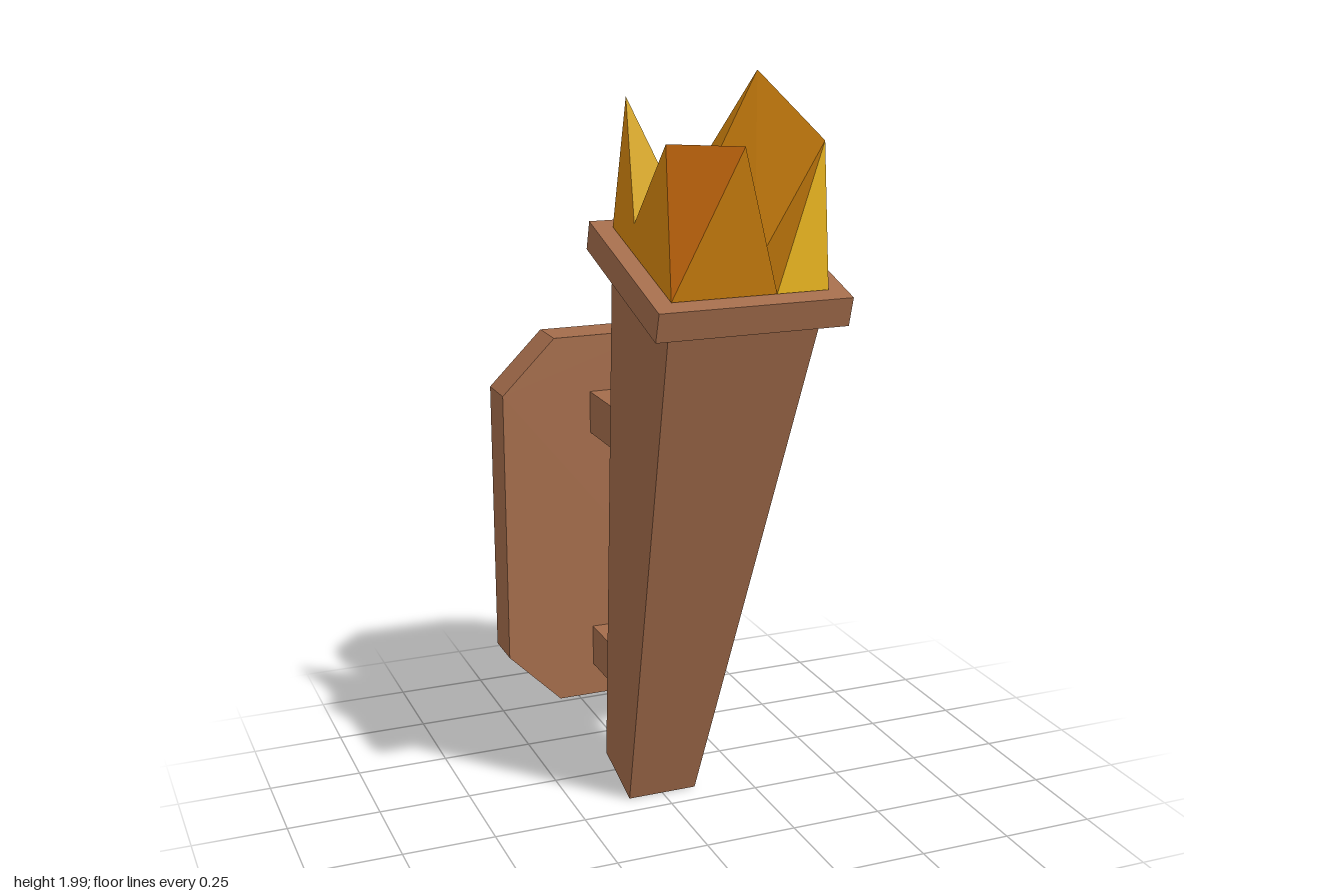
import * as THREE from 'three';

const mat = (name, color) => {
  const m = new THREE.MeshStandardMaterial({ color, flatShading: true, side: THREE.DoubleSide });
  m.name = name;
  return m;
};

// Non-indexed geometry from a flat list of Vector3 triangles
function fromPoints(points) {
  const g = new THREE.BufferGeometry().setFromPoints(points);
  g.computeVertexNormals();
  return g;
}

// Walls of a prism along z, open at both ends; the outline runs anticlockwise
function openWalls(outline, z0, z1) {
  const pts = [];
  outline.forEach((p, i) => {
    const q = outline[(i + 1) % outline.length];
    const [a, b, c, d] = [[p, z0], [q, z0], [q, z1], [p, z1]].map(([v, z]) => new THREE.Vector3(v.x, v.y, z));
    pts.push(a, b, c, a, c, d);
  });
  return fromPoints(pts);
}

const rect = (x, y0, y1) => [[-x, y0], [x, y0], [x, y1], [-x, y1]].map(p => new THREE.Vector2(...p));

export function createModel() {
  const model = new THREE.Group();
  model.name = 'wallTorch';
  const wood = mat('brown wood', 0xa36c4b);
  const ember = mat('ember orange', 0xd4700f);
  const orange = mat('flame orange', 0xd6860f);
  const yellow = mat('flame yellow', 0xdfac10);

  const add = (parent, name, geometry, material) => {
    const mesh = new THREE.Mesh(geometry, material);
    mesh.name = name;
    parent.add(mesh);
    return mesh;
  };

  // Octagonal wall plate, hollow at the back
  const octagon = [[-0.16, 0.145], [0.16, 0.145], [0.31, 0.295], [0.31, 1.065],
    [0.16, 1.215], [-0.16, 1.215], [-0.31, 1.065], [-0.31, 0.295]].map(p => new THREE.Vector2(...p));
  const plate = new THREE.Group();
  plate.name = 'wallPlate';
  model.add(plate);
  add(plate, 'plateFace', new THREE.ShapeGeometry(new THREE.Shape(octagon)), wood).position.z = -0.465;
  add(plate, 'plateRim', openWalls(octagon, -0.585, -0.465), wood);

  // Two arms that pass through the plate
  add(model, 'upperArm', openWalls(rect(0.058, 0.937, 1.055), -0.5, 0), wood);
  add(model, 'lowerArm', openWalls(rect(0.058, 0.238, 0.355), -0.5, -0.16), wood);

  // Leaning torch: tapered square shaft and rim
  const torch = new THREE.Group();
  torch.name = 'torch';
  torch.position.set(0, 0.028, -0.1625);
  torch.rotation.x = 0.29;
  model.add(torch);
  const shaft = new THREE.CylinderGeometry(0.191 * Math.SQRT2, 0.0965 * Math.SQRT2, 1.52, 4);
  shaft.rotateY(Math.PI / 4);
  add(torch, 'shaft', shaft, wood).position.y = 0.76;
  add(torch, 'rim', new THREE.BoxGeometry(0.48, 0.074, 0.475), wood).position.y = 1.557;

  // Flame: a grid of heights (rows run back to front) with walls down to the rim
  const heights = [
    [0.33, 0, 0.19, 0],
    [0.07, 0.07, 0.436, 0.045],
    [0.323, 0.1, 0, 0.313],
    [0, 0.367, 0, 0],
  ];
  const at = i => -0.195 + 0.13 * i;
  const top = (r, c) => new THREE.Vector3(at(c), heights[r][c], at(r));
  const base = (r, c) => new THREE.Vector3(at(c), 0, at(r));
  const faces = { O: [], E: [], Y: [] };

  // Colours of the two triangles in each cell: right one, then left one
  const cells = ['OY', 'OO', 'EY', 'OO', 'OO', 'OO', 'YE', 'OO', 'OY'];
  cells.forEach((key, i) => {
    const r = Math.floor(i / 3), c = i % 3;
    const a = top(r, c), b = top(r, c + 1), d = top(r + 1, c), e = top(r + 1, c + 1);
    if (i === 8) {
      faces[key[0]].push(a, d, b);
      faces[key[1]].push(b, d, e);
    } else {
      faces[key[0]].push(a, e, b);
      faces[key[1]].push(a, d, e);
    }
  });

  // Outer walls
  const wall = (key, p, q) => faces[key].push(base(...p), base(...q), top(...q), base(...p), top(...q), top(...p));
  for (let i = 0; i < 3; i++) {
    wall('O', [3, i], [3, i + 1]);
    wall('O', [0, i + 1], [0, i]);
    wall('O', [i, 0], [i + 1, 0]);
    wall(i === 2 ? 'Y' : 'E', [i + 1, 3], [i, 3]);
  }

  const flame = new THREE.Group();
  flame.name = 'flame';
  flame.position.y = 1.596;
  torch.add(flame);
  add(flame, 'flameOrangeFaces', fromPoints(faces.O), orange);
  add(flame, 'flameEmberFaces', fromPoints(faces.E), ember);
  add(flame, 'flameYellowFaces', fromPoints(faces.Y), yellow);

  return model;
}
